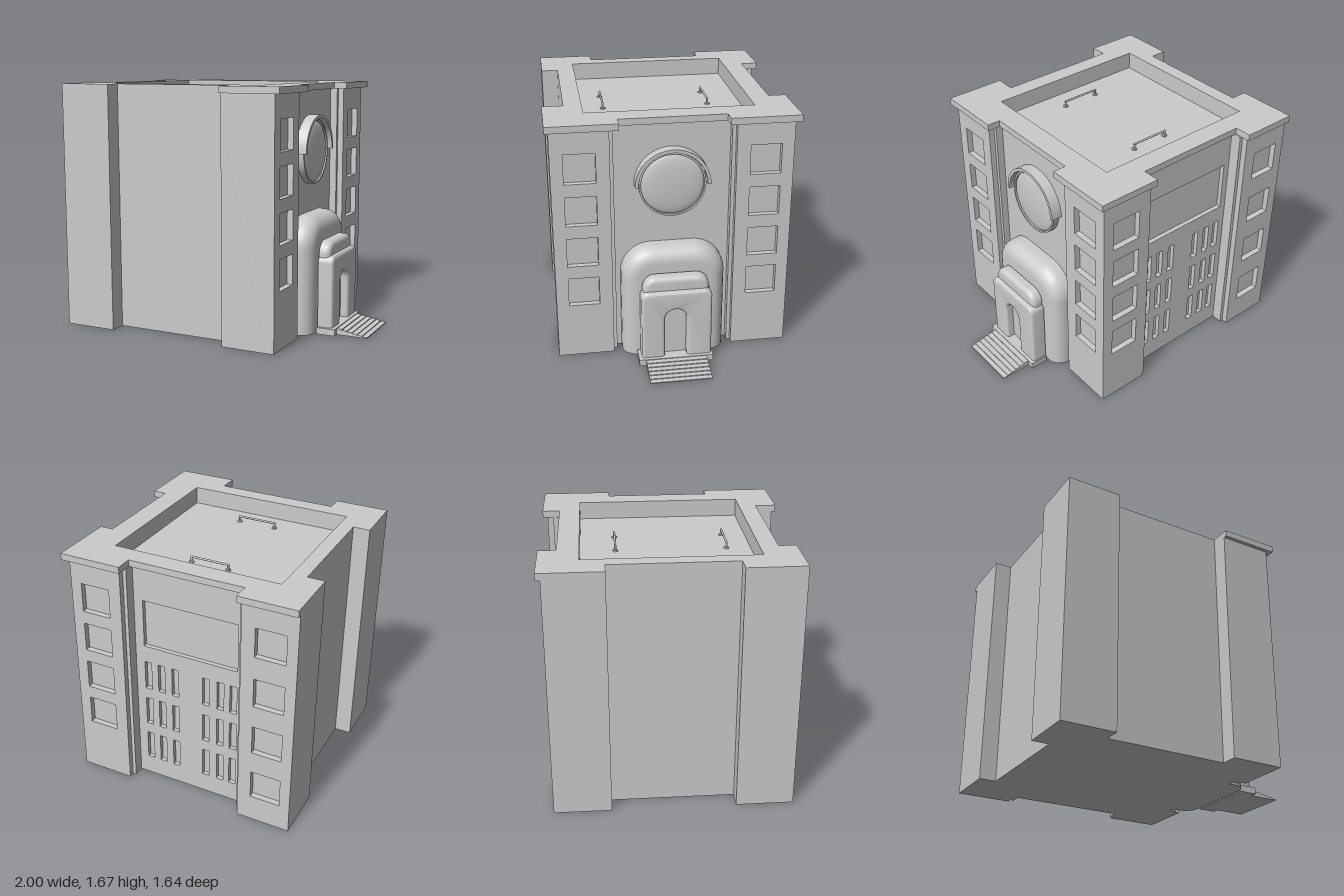
import * as THREE from 'three';
import { toCreasedNormals } from 'three/addons/utils/BufferGeometryUtils.js';

const material = new THREE.MeshStandardMaterial({ color: 0xcccccc });
const V = (x, y) => new THREE.Vector2(x, y);

function add(parent, name, geometry, x = 0, y = 0, z = 0) {
  const mesh = new THREE.Mesh(geometry, material);
  mesh.name = name;
  mesh.position.set(x, y, z);
  parent.add(mesh);
  return mesh;
}

function rect(Type, u0, u1, y0, y1) {
  return new Type([V(u0, y0), V(u1, y0), V(u1, y1), V(u0, y1)]);
}

// Plan outline [x, z] raised from y0 to y1, with an optional roof-well hole.
function planSlab(points, y0, y1, well) {
  const shape = new THREE.Shape(points.map(([x, z]) => V(x, -z)));
  if (well) shape.holes.push(rect(THREE.Path, -0.785, 0.375, -0.555, 0.565));
  return new THREE.ExtrudeGeometry(shape, { depth: y1 - y0, bevelEnabled: false })
    .rotateX(-Math.PI / 2).translate(0, y0, 0);
}

// Thin wall with rectangular openings [u centre, bottom, width, height].
function facade(u0, u1, openings, thickness, turn) {
  const shape = rect(THREE.Shape, u0, u1, 0, 1.63);
  for (const [u, y, w, h] of openings) {
    shape.holes.push(rect(THREE.Path, u - w / 2, u + w / 2, y, y + h));
  }
  return new THREE.ExtrudeGeometry(shape, { depth: thickness, bevelEnabled: false }).rotateY(turn);
}

// Rounded-top block facing +x with a soft front edge, cut flat at the bottom and back.
function softBlock(half, bottom, top, corner, back, front, bevel, hole) {
  const shape = new THREE.Shape();
  const y0 = bottom - 0.2;
  shape.moveTo(-half, y0);
  shape.lineTo(half, y0);
  shape.lineTo(half, top - corner);
  shape.absarc(half - corner, top - corner, corner, 0, Math.PI / 2);
  shape.absarc(corner - half, top - corner, corner, Math.PI / 2, Math.PI);
  if (hole) shape.holes.push(hole);
  const geometry = new THREE.ExtrudeGeometry(shape, {
    depth: front - back, bevelThickness: bevel, bevelSize: bevel,
    bevelOffset: -bevel, bevelSegments: 6, curveSegments: 12,
  }).rotateY(Math.PI / 2).translate(back - bevel, 0, 0);
  const p = geometry.attributes.position;
  for (let i = 0; i < p.count; i++) {
    p.setX(i, Math.max(p.getX(i), back));
    p.setY(i, Math.max(p.getY(i), bottom));
  }
  return toCreasedNormals(geometry, 0.6);
}

export function createModel() {
  const model = new THREE.Group();
  model.name = 'building';

  // Core with four corner towers, then the parapet and cornice around the roof well
  const core = [
    [-1, 0.79], [-0.63, 0.79], [-0.63, 0.675], [0.21, 0.675], [0.21, 0.79], [0.54, 0.79],
    [0.54, 0.385], [0.49, 0.385], [0.49, -0.385], [0.54, -0.385], [0.54, -0.75],
    [0.185, -0.75], [0.185, -0.645], [-0.605, -0.645], [-0.605, -0.75], [-1, -0.75],
    [-1, -0.41], [-0.885, -0.41], [-0.885, 0.41], [-1, 0.41],
  ];
  const cornice = [
    [-1, 0.79], [-0.63, 0.79], [-0.63, 0.675], [0.21, 0.675], [0.21, 0.815], [0.62, 0.815],
    [0.62, 0.352], [0.53, 0.352], [0.53, -0.355], [0.62, -0.355], [0.62, -0.822],
    [0.19, -0.822], [0.19, -0.705], [-0.61, -0.705], [-0.61, -0.82], [-1, -0.82],
    [-1, -0.41], [-0.885, -0.41], [-0.885, 0.41], [-1, 0.41],
  ];
  add(model, 'core', planSlab(core, 0, 1.555, false));
  add(model, 'parapet', planSlab(core, 1.555, 1.63, true));
  add(model, 'cornice', planSlab(cornice, 1.63, 1.675, true));

  // Tower walls with four windows each
  const column = (u, top, pitch) => [0, 1, 2, 3].map(i => [u, top - i * pitch, 0.206, 0.204]);
  const quarter = Math.PI / 2;
  add(model, 'entranceTowerWallLeft', facade(-0.79, -0.41, column(-0.603, 1.27, 0.294), 0.04, quarter), 0.54);
  add(model, 'entranceTowerWallRight', facade(0.41, 0.75, column(0.605, 1.27, 0.294), 0.04, quarter), 0.54);
  add(model, 'sideTowerWallNear', facade(-0.58, -0.21, column(-0.4, 1.27, 0.294), 0.04, Math.PI), 0, 0, -0.75);
  add(model, 'sideTowerWallFar', facade(0.63, 1, column(0.825, 1.27, 0.36), 0.04, Math.PI), 0, 0, -0.75);

  // Side wall with a wide panel over rows of narrow windows
  const openings = [[0.22, 1.05, 0.68, 0.34]];
  for (const u of [-0.095, 0.005, 0.108, 0.335, 0.44, 0.533]) {
    for (const y of [0.14, 0.43, 0.72]) openings.push([u, y, 0.05, 0.21]);
  }
  add(model, 'sideWall', facade(-0.185, 0.605, openings, 0.03, Math.PI), 0, 0, -0.645);

  // Round domed disc in a rim, under a half-ring hood
  const profile = [V(0.222, 0), V(0.222, 0.045), V(0.21, 0.045), V(0.21, 0.03)];
  for (let i = 1; i <= 8; i++) {
    const a = (i / 8) * quarter;
    profile.push(V(i === 8 ? 0 : 0.21 * Math.cos(a), 0.03 + 0.03 * Math.sin(a)));
  }
  const disc = new THREE.LatheGeometry(profile, 48).rotateZ(-quarter);
  add(model, 'roundDisc', toCreasedNormals(disc, 0.6), 0.49, 1.21, 0);
  const ring = new THREE.Shape();
  ring.absarc(0, 0, 0.25, 0, Math.PI, false);
  ring.absarc(0, 0, 0.228, Math.PI, 0, true);
  const hood = new THREE.ExtrudeGeometry(ring, { depth: 0.075, bevelEnabled: false, curveSegments: 32 });
  add(model, 'discHood', toCreasedNormals(hood.rotateY(quarter), 0.6), 0.49, 1.213, 0);

  // Rounded entrance surround and the porch before it
  add(model, 'entranceSurround', softBlock(0.35, 0, 0.79, 0.21, 0.45, 0.64, 0.1));
  const doorway = new THREE.Path();
  doorway.moveTo(-0.082, 0.045);
  doorway.lineTo(0.068, 0.045);
  doorway.lineTo(0.068, 0.325);
  doorway.absarc(-0.007, 0.325, 0.075, 0, Math.PI);
  doorway.closePath();
  const porch = new THREE.Group();
  porch.name = 'porch';
  model.add(porch);
  add(porch, 'porchBody', softBlock(0.237, 0, 0.535, 0.05, 0.655, 0.76, 0.02, doorway));
  add(porch, 'door', new THREE.BoxGeometry(0.04, 0.42, 0.22), 0.685, 0.215, 0.007);
  add(porch, 'porchRoof', softBlock(0.222, 0.52, 0.628, 0.085, 0.655, 0.73, 0.035));
  add(porch, 'porchBase', new THREE.BoxGeometry(0.13, 0.045, 0.505), 0.72, 0.0225, 0.007);

  // Shallow front steps
  const count = 6;
  const run = 0.215 / count;
  for (let i = 0; i < count; i++) {
    const h = 0.04 - i * 0.0065;
    add(porch, 'step', new THREE.BoxGeometry(run, h, 0.415), 0.785 + run * (i + 0.5), h / 2, 0.007);
  }

  // Two grab handles on the roof floor
  for (const z of [-0.335, 0.395]) {
    const handle = new THREE.Group();
    handle.name = 'roofHandle';
    handle.position.set(-0.1875, 1.555, z);
    model.add(handle);
    for (const x of [-0.1325, 0.1325]) {
      add(handle, 'handleFoot', new THREE.CylinderGeometry(0.018, 0.018, 0.008, 16), x, 0.004, 0);
      add(handle, 'handlePost', new THREE.CylinderGeometry(0.007, 0.007, 0.036, 10), x, 0.02, 0);
    }
    add(handle, 'handleBar', new THREE.CylinderGeometry(0.007, 0.007, 0.278, 10).rotateZ(quarter), 0, 0.038, 0);
  }
  return model;
}
